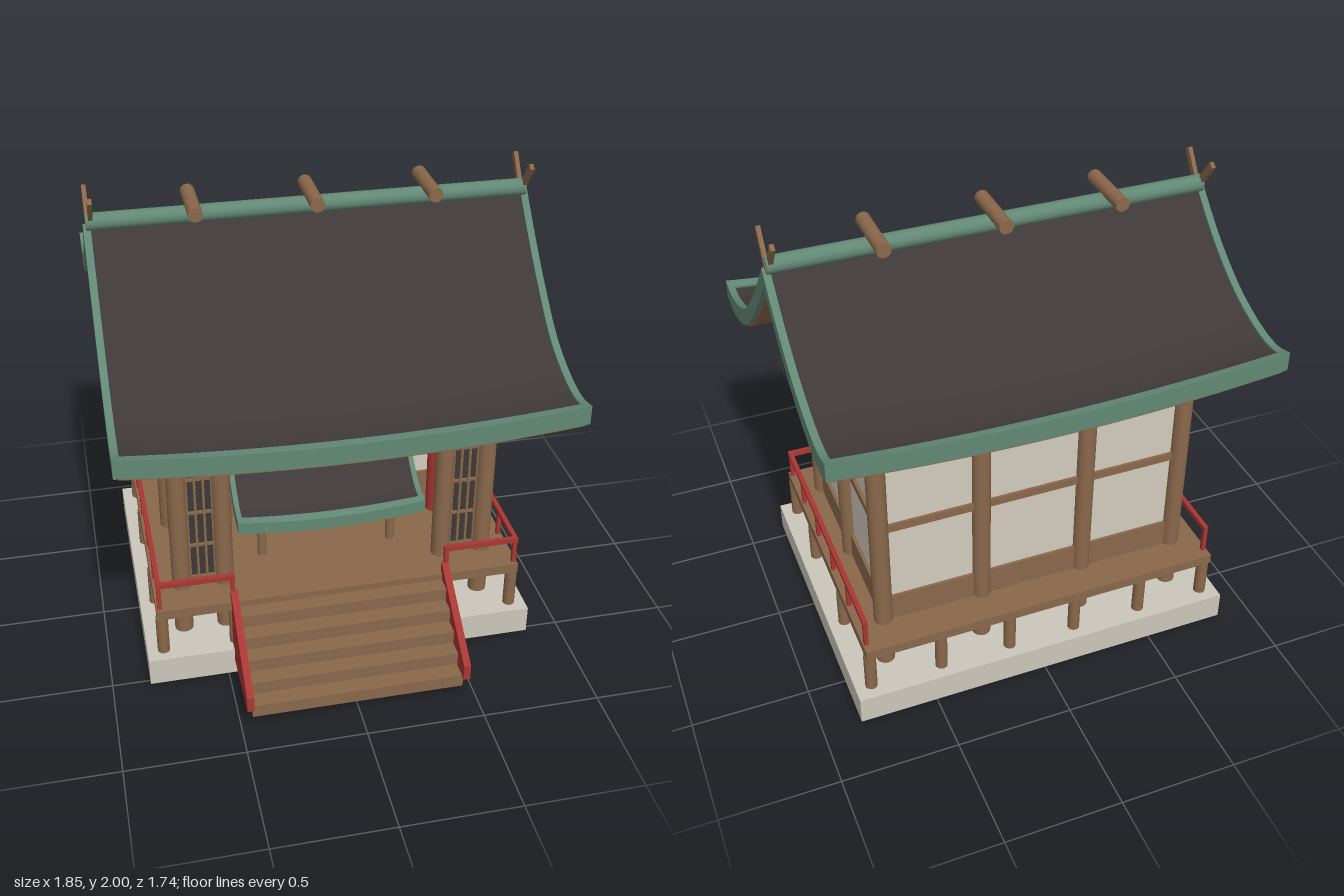
import * as THREE from 'three';
import { toCreasedNormals } from 'three/addons/utils/BufferGeometryUtils.js';

const paint = (name, color, side = THREE.FrontSide) => {
  const m = new THREE.MeshStandardMaterial({ color, side });
  m.name = name;
  return m;
};

export function createModel() {
  const model = new THREE.Group();
  model.name = 'shrine';
  const wood = paint('wood', 0x8a684b), plaster = paint('plaster', 0xd3cbbe), stone = paint('stone', 0xccc7bb);
  const red = paint('red lacquer', 0xa83733), green = paint('green copper', 0x628775), dark = paint('dark slate', 0x3f3838);
  const black = paint('black', 0x302c2c), metal = paint('metal', 0xa5a49f);
  const paper = paint('paper', 0xe6e3da, THREE.DoubleSide);

  const add = (name, geo, mat) => {
    const m = new THREE.Mesh(geo, mat);
    m.name = name;
    model.add(m);
    return m;
  };
  // box given by its extents
  const box = (name, mat, x0, x1, y0, y1, z0, z1) => add(name,
    new THREE.BoxGeometry(x1 - x0, y1 - y0, z1 - z0).translate((x0 + x1) / 2, (y0 + y1) / 2, (z0 + z1) / 2), mat);
  const post = (name, mat, x, z, y0, y1, r, n = 20) => add(name,
    new THREE.CylinderGeometry(r, r, y1 - y0, n).translate(x, (y0 + y1) / 2, z), mat);

  // stone base with shallow footings
  box('stoneBase', stone, -0.84, 0.84, 0.025, 0.15, -0.76, 0.55);
  box('centreFooting', stone, -0.27, 0.27, 0, 0.03, -0.11, 0.16);

  // deck on short posts
  box('deck', wood, -0.79, 0.79, 0.33, 0.375, -0.72, 0.51);
  for (const s of [-1, 1]) {
    for (const z of [0.485, 0.15, -0.3, -0.69]) post('deckPost', wood, s * 0.77, z, 0.15, 0.33, 0.026);
    for (const x of [0.15, 0.46]) post('deckPost', wood, s * x, -0.69, 0.15, 0.33, 0.026);
    post('deckPost', wood, s * 0.46, 0.485, 0.15, 0.33, 0.026);
  }

  // stairs with sloped side boards
  for (let i = 0; i < 5; i++) {
    box('stairStep', wood, -0.45, 0.45, 0.04 + 0.062 * i, 0.035 + 0.062 * (i + 1), 0.5, 0.85 - 0.068 * i);
  }
  const sideShape = new THREE.Shape([[0.49, 0.09], [0.87, 0.09], [0.87, 0.16], [0.49, 0.43]].map(p => new THREE.Vector2(...p)));
  for (const s of [-1, 1]) {
    add('stairSide', new THREE.ExtrudeGeometry(sideShape, { depth: 0.03, bevelEnabled: false })
      .rotateY(-Math.PI / 2).translate(s * 0.46 + 0.015, 0, 0), red);
  }

  // railings along the sides and beside the stairs
  for (const s of [-1, 1]) {
    box('sideRail', red, s * 0.775 - 0.01, s * 0.775 + 0.01, 0.485, 0.507, -0.68, 0.5);
    for (const z of [0.485, 0.275, 0.035, -0.2, -0.43, -0.67]) {
      box('railPost', red, s * 0.775 - 0.009, s * 0.775 + 0.009, 0.375, 0.485, z - 0.009, z + 0.009);
    }
    box('frontRail', red, s * 0.62 - 0.165, s * 0.62 + 0.165, 0.485, 0.507, 0.48, 0.5);
    box('railPost', red, s * 0.465 - 0.009, s * 0.465 + 0.009, 0.375, 0.485, 0.481, 0.499);
  }

  // hall posts, walls and beams
  for (const s of [-1, 1]) {
    post('cornerPost', wood, s * 0.665, 0.35, 0.15, 1.34, 0.04);
    post('frontPost', wood, s * 0.48, 0.35, 0.15, 1.3, 0.04);
    for (const z of [-0.11, -0.56]) post('sidePost', wood, s * 0.665, z, 0.15, 1.385, 0.04);
    post('backPost', wood, s * 0.23, -0.56, 0.15, 1.385, 0.04);
    post('doorPost', wood, s * 0.23, -0.1, 0.375, 1.34, 0.035);

    box('sideWall', plaster, s * 0.653 - 0.007, s * 0.653 + 0.007, 0.375, 1.36, -0.56, 0.35);
    box('sideSkirting', wood, s * 0.66 - 0.015, s * 0.66 + 0.015, 0.375, 0.5, -0.56, 0.35);
    box('sideRailBeam', wood, s * 0.66 - 0.015, s * 0.66 + 0.015, 0.85, 0.886, -0.56, 0.35);
    box('lowerSideBeam', wood, s * 0.665 - 0.025, s * 0.665 + 0.025, 1.285, 1.333, -0.59, 0.37);
    box('upperSideBeam', wood, s * 0.665 - 0.035, s * 0.665 + 0.035, 1.34, 1.385, -0.61, 0.365);
    box('cornerBlock', wood, s * 0.665 - 0.04, s * 0.665 + 0.04, 1.35, 1.412, -0.6, -0.52);

    // lattice screen at the front
    box('latticeBack', dark, s * 0.572 - 0.07, s * 0.572 + 0.07, 0.375, 1.25, 0.34, 0.35);
    for (const x of [-0.053, -0.018, 0.018, 0.053]) {
      box('latticeBar', wood, s * 0.572 + x - 0.005, s * 0.572 + x + 0.005, 0.375, 1.25, 0.35, 0.362);
    }
    for (let i = 0; i < 6; i++) {
      box('latticeRail', wood, s * 0.572 - 0.07, s * 0.572 + 0.07, 0.41 + i * 0.165, 0.422 + i * 0.165, 0.35, 0.36);
    }
  }
  box('frontBeam', wood, -0.69, 0.69, 1.22, 1.29, 0.32, 0.375);
  box('backWall', plaster, -0.65, 0.65, 0.375, 1.37, -0.563, -0.55);
  box('backSkirting', wood, -0.65, 0.65, 0.375, 0.5, -0.575, -0.545);
  box('backRailBeam', wood, -0.65, 0.65, 0.85, 0.886, -0.575, -0.545);
  box('lowerBackBeam', wood, -0.69, 0.69, 1.285, 1.333, -0.585, -0.535);
  box('upperBackBeam', wood, -0.71, 0.71, 1.34, 1.385, -0.595, -0.525);

  // inner wall with double doors
  box('innerWall', plaster, -0.65, 0.65, 0.375, 1.37, -0.12, -0.11);
  box('innerSkirting', wood, -0.65, 0.65, 0.375, 0.5, -0.12, -0.1);
  box('innerRailBeam', wood, -0.65, 0.65, 0.85, 0.886, -0.12, -0.1);
  box('doorFrame', wood, -0.19, 0.19, 0.375, 1.035, -0.11, -0.085);
  for (const s of [-1, 1]) box('doorPanel', dark, s * 0.088 - 0.077, s * 0.088 + 0.077, 0.46, 1.01, -0.085, -0.08);

  // gate inside the hall, its beams passing through the side walls
  for (const s of [-1, 1]) {
    post('gateFooting', stone, s * 0.545, 0.025, 0.015, 0.03, 0.1, 32);
    post('gateFoot', black, s * 0.555, 0.015, 0.15, 0.21, 0.052, 24);
    post('gatePillar', red, s * 0.555, 0.015, 0.21, 1.38, 0.044, 24);
  }
  box('gateTieBeam', red, -0.7, 0.7, 1.1, 1.167, 0.002, 0.048);
  box('gateUpperBeam', red, -0.76, 0.76, 1.375, 1.435, -0.003, 0.053);
  const cap = box('gateCap', black, -0.8, 0.8, 1.43, 1.505, -0.03, 0.08);
  const cp = cap.geometry.attributes.position;
  for (let i = 0; i < cp.count; i++) if (cp.getY(i) < 1.45) cp.setZ(i, 0.025 + (cp.getZ(i) - 0.025) * 0.75);
  cap.geometry.computeVertexNormals();

  // curved slab following a roof profile, its eave swept up toward the ends
  function roofSlab(name, mat, roof, prof, x0, x1, t0, t1, lift, thick) {
    const curve = new THREE.CatmullRomCurve3(prof.map(([z, y]) => new THREE.Vector3(0, y, z)));
    const nx = x1 - x0 > 0.2 ? 20 : 1, nt = 16, flip = prof[prof.length - 1][0] < prof[0][0], out = [];
    const at = (i, j, low) => {
      const x = x0 + (x1 - x0) * i / nx, t = t0 + (t1 - t0) * j / nt, p = curve.getPoint(t);
      return [x, p.y - roof.sweep * t * t * (1 - (x / roof.half) ** 2) + lift - low * thick, p.z];
    };
    const quad = (a, b, c, d) => out.push(...(flip ? [a, c, b, a, d, c] : [a, b, c, a, c, d]).flat());
    for (let i = 0; i < nx; i++) {
      for (let j = 0; j < nt; j++) {
        quad(at(i, j, 0), at(i, j + 1, 0), at(i + 1, j + 1, 0), at(i + 1, j, 0));
        quad(at(i, j, 1), at(i + 1, j, 1), at(i + 1, j + 1, 1), at(i, j + 1, 1));
      }
      quad(at(i, nt, 0), at(i, nt, 1), at(i + 1, nt, 1), at(i + 1, nt, 0));
      quad(at(i, 0, 1), at(i, 0, 0), at(i + 1, 0, 0), at(i + 1, 0, 1));
    }
    for (let j = 0; j < nt; j++) {
      quad(at(0, j, 0), at(0, j, 1), at(0, j + 1, 1), at(0, j + 1, 0));
      quad(at(nx, j, 0), at(nx, j + 1, 0), at(nx, j + 1, 1), at(nx, j, 1));
    }
    const g = new THREE.BufferGeometry();
    g.setAttribute('position', new THREE.Float32BufferAttribute(out, 3));
    g.computeVertexNormals();
    add(name, toCreasedNormals(g, 0.6), mat);
  }
  function buildRoof(prefix, roof) {
    const { half: h, edge: e, thick: k } = roof;
    for (const prof of roof.slopes) {
      roofSlab(prefix + 'Tiles', dark, roof, prof, -h + e, h - e, 0, 0.95, -k * 0.12, k * 0.7);
      roofSlab(prefix + 'Underside', wood, roof, prof, -h + e * 0.6, h - e * 0.6, 0, 0.985, -k * 0.8, k * 0.3);
      roofSlab(prefix + 'Eave', green, roof, prof, -h + e, h - e, roof.eave, 1, 0, k);
      for (const s of [-1, 1]) {
        const x = s * (h - e / 2);
        roofSlab(prefix + 'Verge', green, roof, prof, x - e / 2, x + e / 2, 0, 1, 0, k);
      }
    }
    const [z, y] = roof.slopes[0][0];
    add(prefix + 'Ridge', new THREE.CylinderGeometry(roof.ridge, roof.ridge, h * 1.97, 20)
      .rotateZ(Math.PI / 2).translate(0, y + roof.ridge * 0.2, z), green);
  }

  // main roof
  const front = [[-0.11, 1.87], [0.02, 1.725], [0.19, 1.555], [0.377, 1.4], [0.56, 1.32], [0.68, 1.3], [0.77, 1.315]];
  const rear = [[-0.11, 1.87], [-0.22, 1.763], [-0.34, 1.665], [-0.5, 1.565], [-0.68, 1.5], [-0.79, 1.49], [-0.865, 1.51]];
  buildRoof('mainRoof', { slopes: [front, rear], half: 0.925, edge: 0.03, thick: 0.082, sweep: 0.05, eave: 0.92, ridge: 0.036 });

  // white gables under the roof line
  const line = [...front.slice(1, 4).reverse(), ...[...rear.slice(0, 5)]];
  const gable = new THREE.Shape([[0.36, 1.3], ...line.map(([z, y]) => [Math.min(z, 0.36), Math.max(y - 0.065, 1.3)]).filter(p => p[0] > -0.6),
    [-0.58, 1.46], [-0.58, 1.3]].map(p => new THREE.Vector2(...p)));
  for (const s of [-1, 1]) {
    add('gable', new THREE.ExtrudeGeometry(gable, { depth: 0.014, bevelEnabled: false })
      .rotateY(-Math.PI / 2).translate(s * 0.653 + 0.007, 0, 0), plaster);
    // crossed finials at the ridge ends
    for (const d of [-1, 1]) {
      const f = box('ridgeFinial', wood, -0.009, 0.009, -0.03, 0.15, -0.014, 0.014);
      f.position.set(s * 0.9 + d * 0.006, 1.875, -0.11);
      f.rotation.x = d * 0.63;
    }
  }
  // logs across the ridge
  for (const x of [-0.49, 0, 0.49]) {
    add('ridgeLog', new THREE.CylinderGeometry(0.03, 0.03, 0.265, 20).rotateX(Math.PI / 2).translate(x, 1.922, -0.112), wood);
  }

  // small water pavilion: posts, roof, basin
  const slope = d => [[0, 0.82], [0.105, 0.725], [0.205, 0.66], [0.305, 0.645]].map(([z, y]) => [0.025 + d * z, y]);
  buildRoof('pavilionRoof', { slopes: [slope(1), slope(-1)], half: 0.41, edge: 0.022, thick: 0.055, sweep: 0.028, eave: 0.88, ridge: 0.02 });
  for (const x of [-0.29, 0.29]) {
    for (const z of [-0.15, 0.2]) post('pavilionPost', wood, x, z, 0.375, 0.64, 0.02);
    box('pavilionBeam', wood, x - 0.016, x + 0.016, 0.6, 0.635, -0.18, 0.23);
  }
  const bowl = [[0, 0.38], [0.05, 0.385], [0.09, 0.405], [0.11, 0.44], [0.1, 0.445], [0.08, 0.42], [0, 0.405]];
  add('basin', new THREE.LatheGeometry(bowl.map(p => new THREE.Vector2(...p)), 32).translate(0, 0, 0.03), metal);
  for (let i = 0; i < 6; i++) {
    const a = i * Math.PI / 3;
    post('basinRod', metal, 0.07 * Math.cos(a), 0.03 + 0.07 * Math.sin(a), 0.41, 0.57, 0.014, 12);
  }

  // sagging rope with folded paper streamers
  const rope = new THREE.CatmullRomCurve3([[-0.5, 1.22], [-0.25, 1.185], [0, 1.175], [0.25, 1.185], [0.5, 1.22]]
    .map(([x, y]) => new THREE.Vector3(x, y, 0.405)));
  add('rope', new THREE.TubeGeometry(rope, 40, 0.018, 10), wood);
  for (const s of [-1, 1]) add('ropeKnot', new THREE.SphereGeometry(0.03, 16, 10).translate(s * 0.5, 1.205, 0.405), black);
  const zigzag = new THREE.Shape([[-0.005, 0.15], [0.015, 0.15], [-0.01, 0.1], [0.035, 0.1], [0.005, 0.055], [0.04, 0.05], [0.005, 0],
    [-0.005, 0.04], [-0.025, 0.05], [-0.005, 0.085], [-0.04, 0.085]].map(p => new THREE.Vector2(...p)));
  for (const x of [-0.31, -0.105, 0.105, 0.31]) {
    add('paperStreamer', new THREE.ExtrudeGeometry(zigzag, { depth: 0.006, bevelEnabled: false }).translate(x, 1.025, 0.405), paper);
  }
  return model;
}
